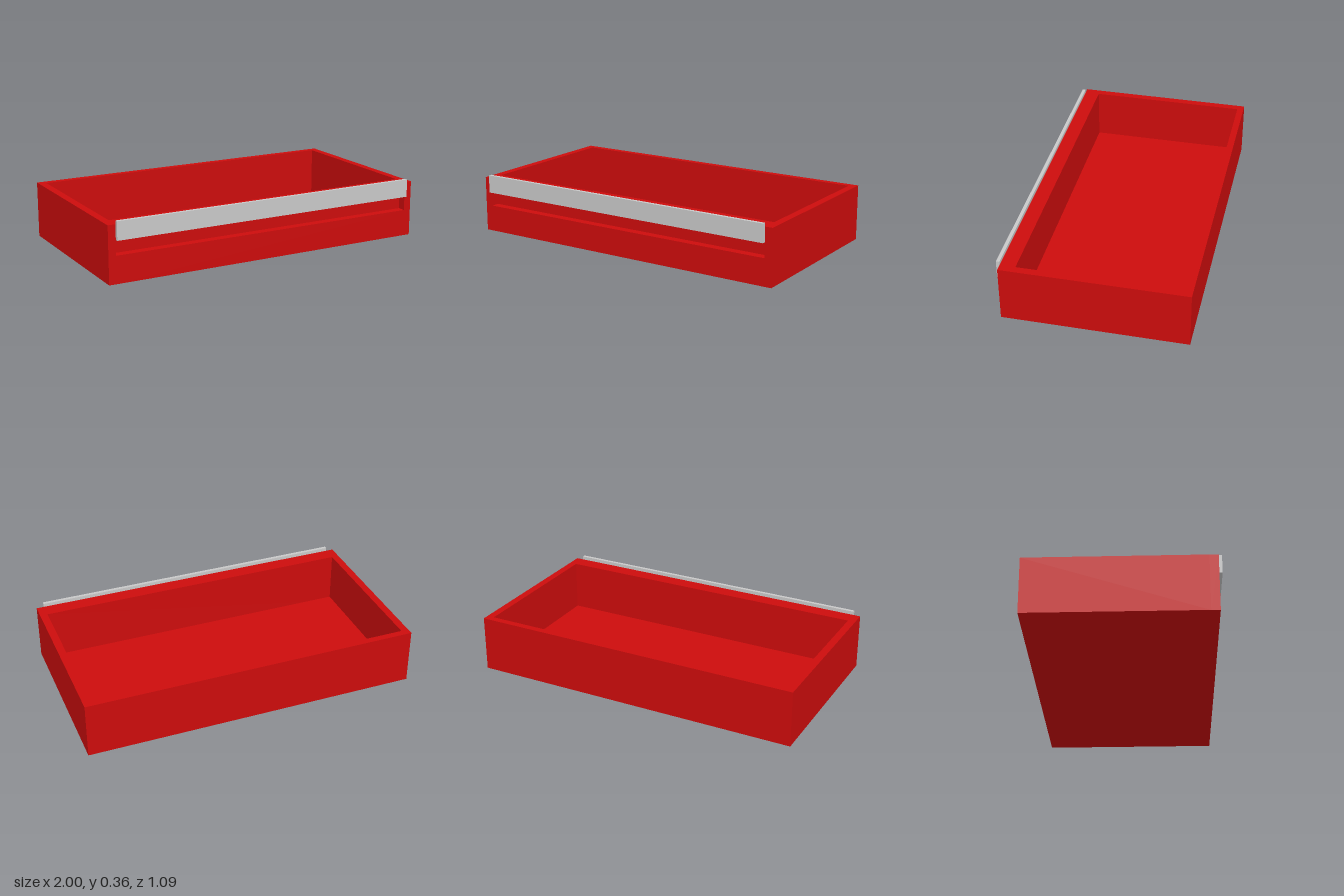
import * as THREE from 'three';

// Traces a rectangle on a Shape or Path
function rect(path, x0, y0, x1, y1) {
  path.moveTo(x0, y0);
  path.lineTo(x1, y0);
  path.lineTo(x1, y1);
  path.lineTo(x0, y1);
  path.closePath();
  return path;
}

// Rectangular frame: outer rectangle with a rectangular opening
function frame(outer, inner, depth) {
  const shape = rect(new THREE.Shape(), ...outer);
  shape.holes.push(rect(new THREE.Path(), ...inner));
  return new THREE.ExtrudeGeometry(shape, { depth, bevelEnabled: false });
}

export function createModel() {
  const red = new THREE.MeshStandardMaterial({ color: 0xcc0c0c });
  red.name = 'red';
  const grey = new THREE.MeshStandardMaterial({ color: 0xc8c8c8 });
  grey.name = 'light grey';

  const model = new THREE.Group();
  model.name = 'drawer';
  const add = (name, geometry, material, x, y, z) => {
    const mesh = new THREE.Mesh(geometry, material);
    mesh.name = name;
    mesh.position.set(x, y, z);
    model.add(mesh);
    return mesh;
  };

  const height = 0.335, back = -0.545, front = 0.525;
  const panel = 0.475; // back of the finger recess
  const floor = 0.03;

  // Four walls around the tray; shape y runs towards -z
  const walls = frame([-1, -panel, 1, -back], [-0.955, -0.435, 0.955, 0.505], height);
  walls.rotateX(-Math.PI / 2);
  add('walls', walls, red, 0, 0, 0);

  // Bottom of the tray
  add('floor', new THREE.BoxGeometry(1.91, floor, 0.94), red, 0, floor / 2, -0.035);

  // Front face with the wide finger recess
  add('frontFrame', frame([-1, 0, 1, height], [-0.955, 0.16, 0.955, 0.315], front - panel),
    red, 0, 0, panel);

  // Flat pull bar across the top of the recess
  add('handle', new THREE.BoxGeometry(1.91, 0.108, 0.02), grey, 0, 0.302, front + 0.01);

  return model;
}
